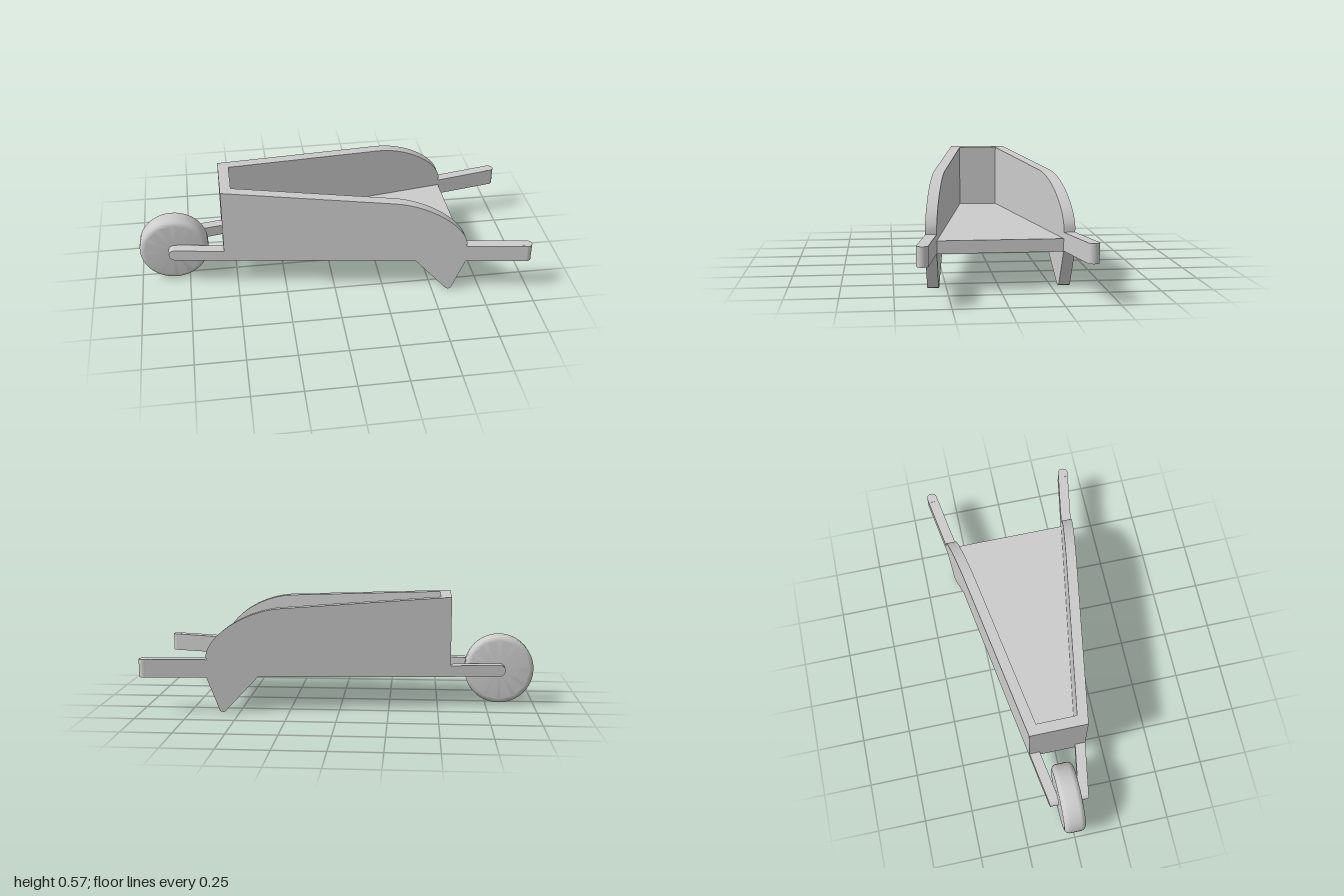
import * as THREE from 'three';
import { toCreasedNormals } from 'three/addons/utils/BufferGeometryUtils.js';

const THICK = 0.054;
// The body widens steadily from the wheel to the handles.
const outer = x => 0.148 + 0.166 * (x + 0.565);
const inner = x => outer(x) - THICK;

export function createModel() {
  const group = new THREE.Group();
  const material = new THREE.MeshStandardMaterial({ color: 0xcccccc });

  const add = (name, geometry) => {
    const mesh = new THREE.Mesh(geometry, material);
    mesh.name = name;
    group.add(mesh);
    return mesh;
  };

  // Extrudes a side profile between two z limits that vary along x.
  const slab = (shape, zLow, zHigh) => {
    const geometry = new THREE.ExtrudeGeometry(shape, { depth: 1, bevelEnabled: false, curveSegments: 20 });
    const p = geometry.attributes.position;
    for (let i = 0; i < p.count; i++) {
      const x = p.getX(i);
      p.setZ(i, THREE.MathUtils.lerp(zLow(x), zHigh(x), p.getZ(i)));
    }
    return toCreasedNormals(geometry, 0.5);
  };

  const polygon = points => new THREE.Shape(points.map(([x, y]) => new THREE.Vector2(x, y)));

  // Side board with wheel arm, leg and handle in one outline
  const side = new THREE.Shape();
  side.moveTo(-0.82, 0.155);
  side.lineTo(0.41, 0.178);
  side.lineTo(0.575, 0.003);
  side.lineTo(0.585, 0);
  side.lineTo(0.6, 0.006);
  side.lineTo(0.665, 0.182);
  side.lineTo(0.973, 0.187);
  side.lineTo(0.973, 0.279);
  side.lineTo(0.665, 0.272);
  side.lineTo(0.665, 0.3);
  side.bezierCurveTo(0.645, 0.4, 0.47, 0.515, 0.3, 0.525);
  side.lineTo(-0.565, 0.572);
  side.lineTo(-0.565, 0.217);
  side.lineTo(-0.82, 0.215);
  side.absarc(-0.82, 0.185, 0.03, Math.PI / 2, Math.PI * 1.5, false);

  for (const s of [1, -1]) {
    const label = s > 0 ? 'left' : 'right';
    add(label + 'SideBoard', s > 0
      ? slab(side, inner, outer)
      : slab(side, x => -outer(x), x => -inner(x)));

    // Rounded grip end
    const grip = add(label + 'HandleEnd', new THREE.CylinderGeometry(THICK / 2, THICK / 2, 0.092, 24));
    grip.position.set(0.973, 0.233, s * (outer(0.973) - THICK / 2));
  }

  // Tray floor with a level top
  add('trayFloor', slab(
    polygon([[-0.565, 0.16], [0.41, 0.178], [0.665, 0.18], [0.665, 0.242], [-0.565, 0.242]]),
    x => -inner(x), inner));

  // End wall above the wheel
  add('trayEndWall', slab(
    polygon([[-0.565, 0.2], [-0.51, 0.2], [-0.51, 0.569], [-0.565, 0.572]]),
    x => -inner(x), inner));

  // Wheel with rounded rim
  const R = 0.179, H = 0.056, B = 0.028;
  const profile = [new THREE.Vector2(0, -H)];
  for (const s of [-1, 1]) {
    for (let i = 0; i <= 6; i++) {
      const a = (s < 0 ? i - 6 : i) / 6 * Math.PI / 2;
      profile.push(new THREE.Vector2(R - B + B * Math.cos(a), s * (H - B) + B * Math.sin(a)));
    }
  }
  profile.push(new THREE.Vector2(0, H));
  const wheel = add('wheel', toCreasedNormals(new THREE.LatheGeometry(profile, 48), 0.6));
  wheel.rotation.x = Math.PI / 2;
  wheel.position.set(-0.821, 0.18, 0);

  return group;
}
